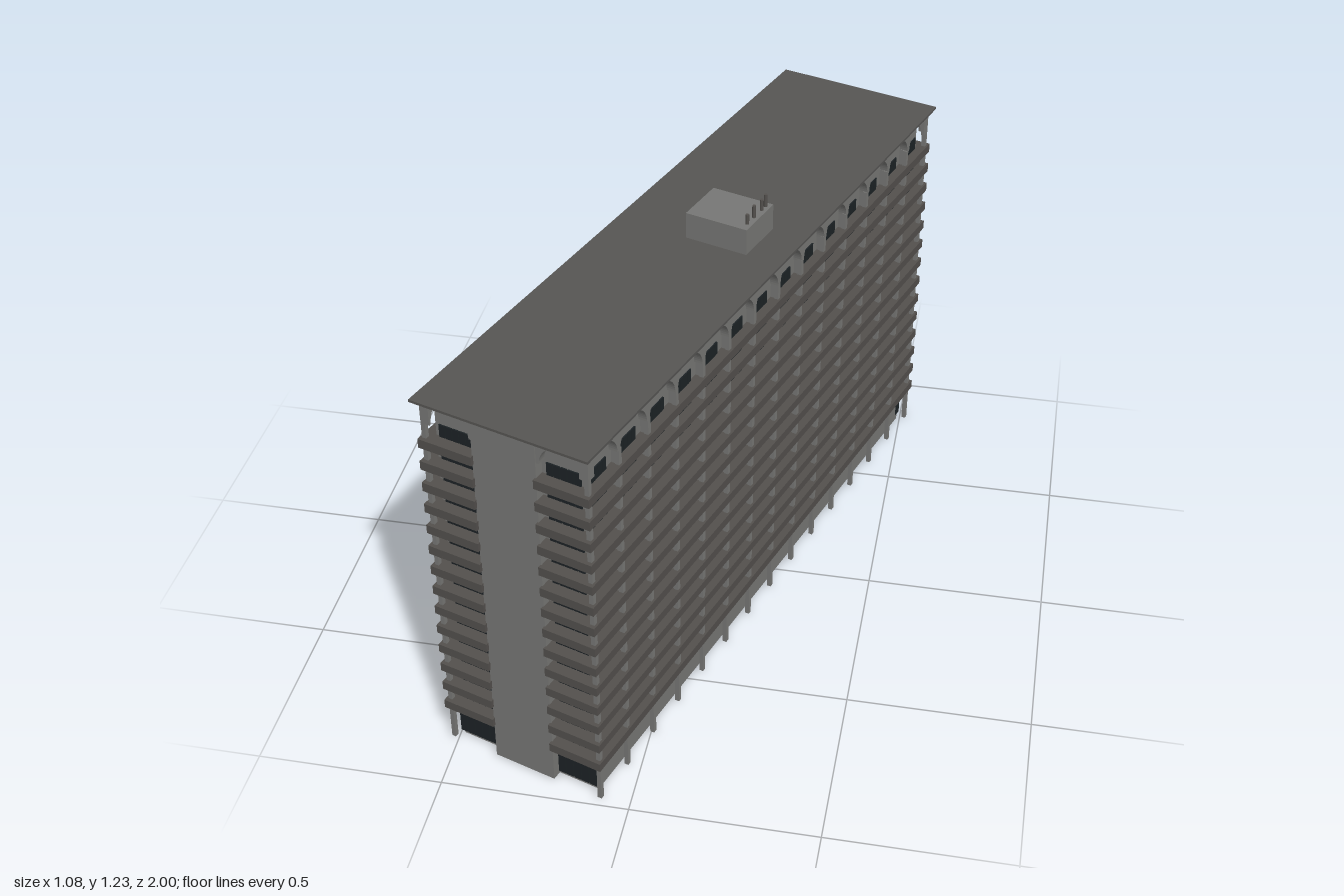
import * as THREE from 'three';
import { mergeGeometries } from 'three/addons/utils/BufferGeometryUtils.js';

const mat = (color) => new THREE.MeshStandardMaterial({ color });
const WALL = mat(0x777775), BAND = mat(0x53504d), ROOF = mat(0x565553), GLASS = mat(0x1c2225);

const TOP = 1.113, CORE_U = 0.21, CORE_W = 0.925;     // core half sizes: u across, w along
const FLOORS = 14, FLOOR_H = 0.0664, FIRST = 0.111, BAND_H = 0.026;
const BAYS = 14, COL_U = 0.228, COL_W = 0.945, BAY = (2 * COL_W) / BAYS;
const WALL_U = 0.09, SPRING = 1.043;

// Box from its minimum and maximum corners
function box(x0, x1, y0, y1, z0, z1) {
  return new THREE.BoxGeometry(x1 - x0, y1 - y0, z1 - z0)
    .translate((x0 + x1) / 2, (y0 + y1) / 2, (z0 + z1) / 2);
}

function add(parent, name, geometries, material) {
  const list = Array.isArray(geometries) ? geometries : [geometries];
  const mesh = new THREE.Mesh(list.length > 1 ? mergeGeometries(list) : list[0], material);
  mesh.name = name;
  parent.add(mesh);
}

// Strip under the roof with a row of round arches cut from its lower edge
function arcade(start, bay, count, radius, depth) {
  const s = new THREE.Shape();
  s.moveTo(start, TOP);
  s.lineTo(start, SPRING);
  for (let i = 0; i < count; i++) {
    const c = start + (i + 0.5) * bay;
    s.lineTo(c - radius, SPRING);
    s.absarc(c, SPRING, radius, Math.PI, 0, true);
  }
  s.lineTo(start + bay * count, SPRING);
  s.lineTo(start + bay * count, TOP);
  s.closePath();
  return new THREE.ExtrudeGeometry(s, { depth, bevelEnabled: false, curveSegments: 14 });
}

// Split a width into panes with thin gaps between them
function panes(from, to, count, make) {
  const step = (to - from) / count;
  return Array.from({ length: count }, (_, i) =>
    make(from + i * step + 0.001, from + (i + 1) * step - 0.001));
}

// One long facade (+x) and one end (+z)
function facadeHalf() {
  const g = new THREE.Group();
  const bands = [], glass = [], fins = [], columns = [];

  for (let f = 0; f < FLOORS; f++) {
    const y = FIRST + f * FLOOR_H, sill = y + BAND_H, head = sill + 0.036;
    // balcony bands
    bands.push(box(CORE_U - 0.01, 0.24, y, y + BAND_H, -0.962, 0.962));
    for (const s of [-1, 1]) {
      const a = s * (WALL_U - 0.003), b = s * 0.2395;
      bands.push(box(Math.min(a, b), Math.max(a, b), y, y + BAND_H, CORE_W - 0.01, 0.9615));
      const p = s * 0.103, q = s * 0.2;
      glass.push(...panes(Math.min(p, q), Math.max(p, q), 5,
        (l, r) => box(l, r, sill, head, CORE_W - 0.005, CORE_W + 0.004)));
    }
    // bay windows
    for (let i = 0; i < BAYS; i++) {
      const c = -COL_W + (i + 0.5) * BAY;
      glass.push(...panes(c - 0.037, c + 0.037, 4,
        (l, r) => box(CORE_U - 0.005, CORE_U + 0.004, sill, head, l, r)));
    }
  }

  // columns and dividing fins
  for (let i = 0; i <= BAYS; i++) {
    const w = -COL_W + i * BAY;
    columns.push(box(COL_U - 0.006, COL_U + 0.006, 0, SPRING + 0.005, w - 0.006, w + 0.006));
    if (i > 0 && i < BAYS)
      fins.push(box(CORE_U - 0.005, COL_U + 0.004, FIRST, SPRING + 0.005, w - 0.003, w + 0.003));
  }

  // ground floor glazing at the end
  const groundGlass = [];
  for (const s of [-1, 1]) {
    const a = s * 0.095, b = s * 0.213;
    groundGlass.push(...panes(Math.min(a, b), Math.max(a, b), 5,
      (l, r) => box(l, r, 0.02, 0.104, CORE_W - 0.012, CORE_W + 0.012)));
  }

  const endWidth = 0.234 - WALL_U;
  add(g, 'balconyBands', bands, BAND);
  add(g, 'windows', glass, GLASS);
  add(g, 'groundFloorGlazing', groundGlass, GLASS);
  add(g, 'columns', columns, WALL);
  add(g, 'balconyDividers', fins, WALL);
  add(g, 'sideArcade', arcade(-COL_W - 0.006, (2 * COL_W + 0.012) / BAYS, BAYS, 0.0615, 0.025)
    .rotateY(Math.PI / 2).translate(CORE_U - 0.001, 0, 0), WALL);
  add(g, 'endArches', [WALL_U, -0.234].map((x) =>
    arcade(x, endWidth, 1, 0.064, 0.024).translate(0, 0, CORE_W)), WALL);
  add(g, 'endWall', box(-WALL_U, WALL_U, 0, TOP, CORE_W - 0.01, 0.952), WALL);
  return g;
}

export function createModel() {
  const model = new THREE.Group();
  model.name = 'apartmentTower';
  const tower = new THREE.Group();
  tower.name = 'building';
  tower.rotation.y = -0.3195;
  model.add(tower);

  add(tower, 'core', box(-CORE_U, CORE_U, 0, TOP, -CORE_W, CORE_W), WALL);
  add(tower, 'roofSlab', box(-0.2475, 0.2475, TOP, 1.12, -0.972, 0.972), ROOF);

  // the two halves are the same, turned half a circle
  const half = facadeHalf();
  half.name = 'rightFacade';
  const other = half.clone();
  other.name = 'leftFacade';
  other.rotation.y = Math.PI;
  tower.add(half, other);

  // rooftop plant room with vent pipes
  add(tower, 'plantRoom', box(-0.034, 0.146, 1.12, 1.195, -0.128, 0.022), WALL);
  add(tower, 'ventPipes', [[-0.008, 0.028], [-0.045, 0.036], [-0.088, 0.032], [-0.11, 0.036]].map(([w, h]) =>
    new THREE.CylinderGeometry(0.005, 0.005, h, 10).translate(0.132, 1.195 + h / 2, w)), BAND);

  // entrance canopy on two posts
  add(tower, 'canopy', box(-0.418, -0.2, 0.106, 0.118, -0.2, 0.2), ROOF);
  add(tower, 'canopyPosts', [-0.18, 0.18].map((w) =>
    box(-0.406, -0.394, 0, 0.108, w - 0.006, w + 0.006)), WALL);
  return model;
}
